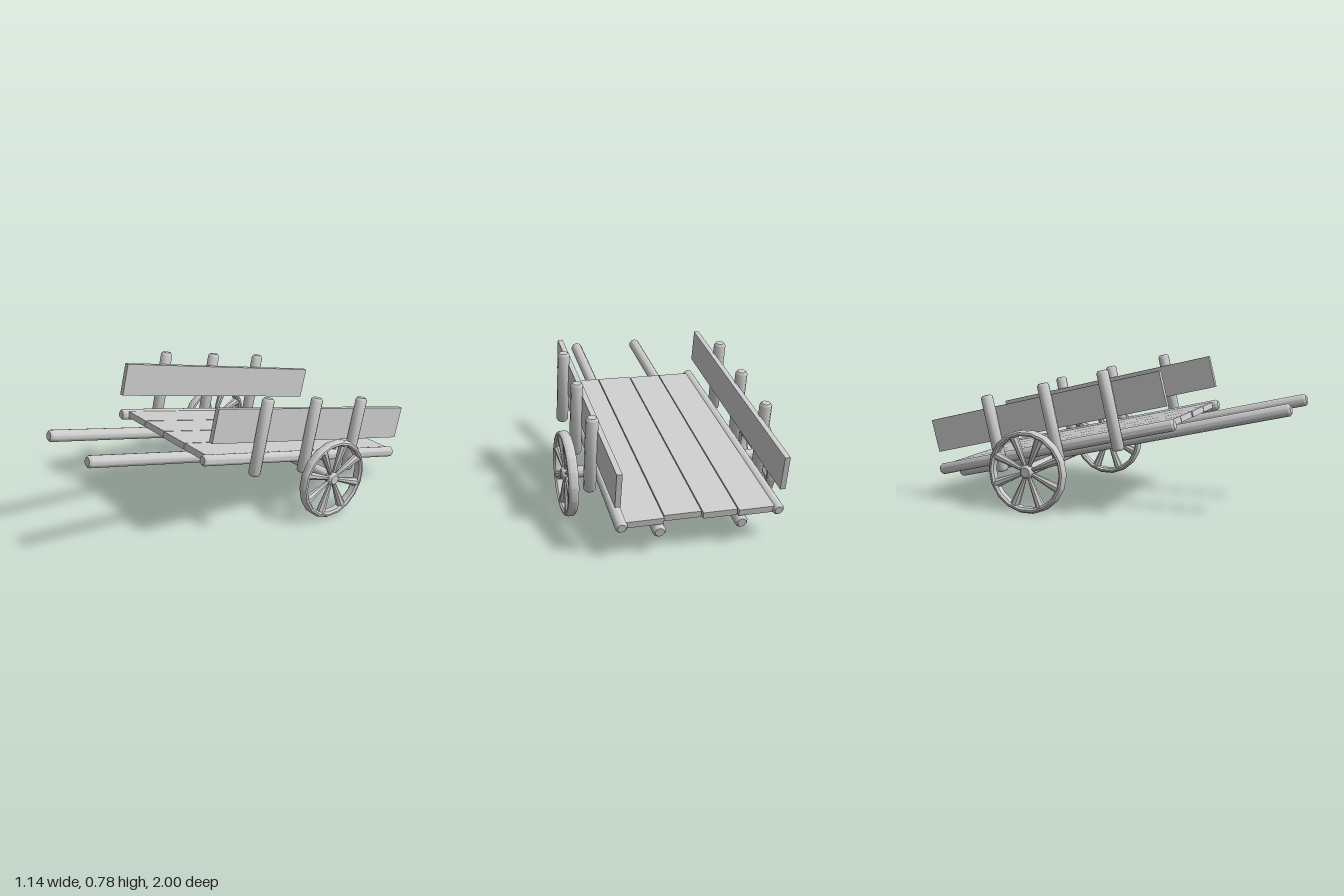
import * as THREE from 'three';
import { toCreasedNormals } from 'three/addons/utils/BufferGeometryUtils.js';

const TILT = -0.243; // the bed slopes up towards the handles

export function createModel() {
  const cart = new THREE.Group();
  cart.name = 'handCart';
  const material = new THREE.MeshStandardMaterial({ color: 0xcccccc });
  const up = new THREE.Vector3(0, 1, 0);

  function add(parent, name, geometry) {
    const mesh = new THREE.Mesh(toCreasedNormals(geometry, 0.7), material);
    mesh.name = name;
    parent.add(mesh);
    return mesh;
  }

  // Round pole with chamfered ends, running from a to b
  function pole(parent, name, a, b, r) {
    const start = new THREE.Vector3(...a);
    const dir = new THREE.Vector3(...b).sub(start);
    const len = dir.length();
    const c = r * 0.35;
    const profile = [[0, 0], [r * 0.7, 0], [r, c], [r, len - c], [r * 0.7, len], [0, len]]
      .map(([x, y]) => new THREE.Vector2(x, y));
    const mesh = add(parent, name, new THREE.LatheGeometry(profile, 10));
    mesh.position.copy(start);
    mesh.quaternion.setFromUnitVectors(up, dir.normalize());
    return mesh;
  }

  // Board lying along the slope of the bed
  function board(name, w, h, len, x, y, z) {
    const mesh = add(cart, name, new THREE.BoxGeometry(w, h, len));
    mesh.position.set(x, y, z);
    mesh.rotation.x = TILT;
    return mesh;
  }

  // Floor planks: left edge, right edge, rear end
  const planks = [[-0.385, -0.193, -0.955], [-0.188, -0.012, -0.945], [-0.007, 0.183, -0.93], [0.188, 0.38, -0.95]];
  planks.forEach(([x0, x1, rear], i) => {
    const front = i < 2 ? 0.405 : 0.41;
    const z = (front + rear) / 2;
    const y = 0.507 + (z - 0.41) * 0.248;
    board('floorPlank', x1 - x0, 0.034, (front - rear) / Math.cos(TILT), (x0 + x1) / 2, y, z);
  });

  for (const s of [1, -1]) {
    // Long handle shafts and shorter side rails
    pole(cart, 'handleShaft', [s * 0.21, 0.115, -0.955], [s * 0.195, 0.593, 0.995], 0.033);
    pole(cart, 'sideRail', [s * 0.4, 0.162, -0.965], [s * 0.385, 0.508, 0.44], 0.031);

    // Side board and the three stakes holding it
    board('sideBoard', 0.028, 0.184, 1.41, s * 0.418, 0.528, -0.295);
    for (let i = 0; i < 3; i++) {
      const z = 0.158 - i * 0.345, y = 0.365 - i * 0.083;
      pole(cart, 'sideStake', [s * 0.458, y, z], [s * 0.458, y + 0.415, z - 0.093], 0.033);
    }

    // Wheel, its axis turned onto x
    const wheel = new THREE.Group();
    wheel.name = 'wheel';
    wheel.position.set(s * 0.541, 0.228, -0.337);
    wheel.rotation.z = -s * Math.PI / 2;
    cart.add(wheel);
    const rim = [[0.197, -0.018], [0.207, -0.028], [0.218, -0.026], [0.227, -0.014], [0.227, 0.014],
      [0.218, 0.026], [0.207, 0.028], [0.197, 0.018], [0.197, -0.018]]
      .map(([x, y]) => new THREE.Vector2(x, y));
    add(wheel, 'rim', new THREE.LatheGeometry(rim, 18));
    pole(wheel, 'hub', [0, -0.03, 0], [0, 0.025, 0], 0.038);
    // Spokes flare out towards the rim
    for (let i = 0; i < 8; i++) {
      const a = (i + 0.5) * Math.PI / 4;
      const dir = new THREE.Vector3(Math.cos(a), 0, Math.sin(a));
      const spoke = add(wheel, 'spoke', new THREE.CylinderGeometry(0.026, 0.01, 0.18, 8));
      spoke.position.copy(dir).multiplyScalar(0.113);
      spoke.quaternion.setFromUnitVectors(up, dir);
    }
  }

  // Axle under the bed
  pole(cart, 'axle', [-0.53, 0.232, -0.342], [0.53, 0.232, -0.342], 0.031);
  return cart;
}
